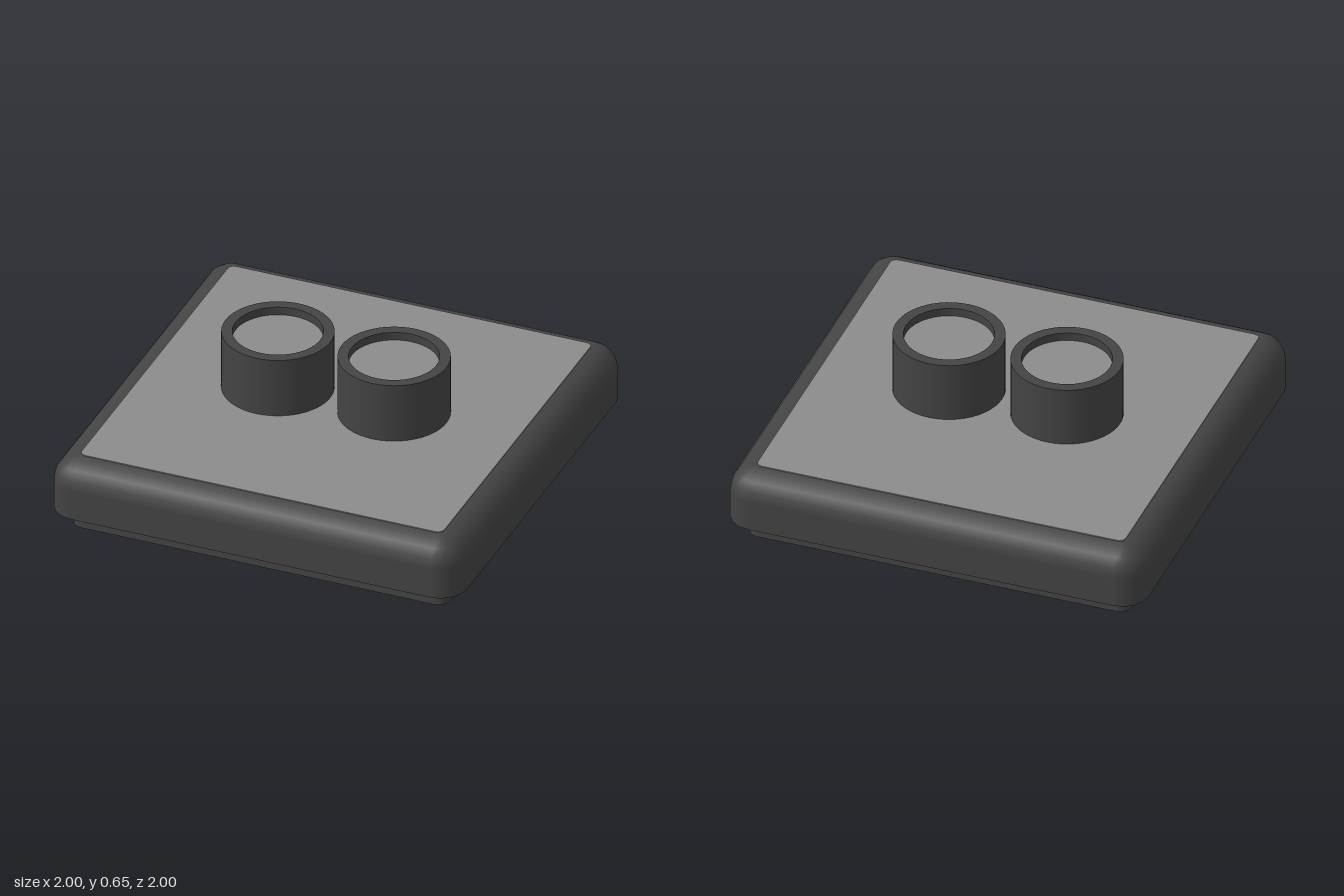
import * as THREE from 'three';

// Square slab with rounded vertical corners; rows are [tilt, y] from bottom to top.
// A tilt of 0 faces straight out, PI / 2 straight up.
function slab(half, radius, rows, segments = 4) {
  const core = half - radius, pos = [], nor = [], idx = [];
  const outline = [];
  for (let corner = 0; corner < 4; corner++) {
    const mid = (corner + 0.5) * Math.PI / 2;
    for (let s = 0; s <= segments; s++) {
      const a = (corner + s / segments) * Math.PI / 2;
      outline.push([Math.sign(Math.cos(mid)) * core, Math.sign(Math.sin(mid)) * core, Math.cos(a), Math.sin(a)]);
    }
  }
  const n = outline.length;
  const ring = (tilt, y, ny) => {
    const out = Math.cos(tilt);
    for (const [cx, cz, dx, dz] of outline) {
      pos.push(cx + dx * radius * out, y, cz + dz * radius * out);
      if (ny) nor.push(0, ny, 0);
      else nor.push(dx * out, Math.sin(tilt), dz * out);
    }
  };
  rows.forEach(([tilt, y]) => ring(tilt, y, 0));
  for (let r = 0; r < rows.length - 1; r++) {
    for (let i = 0; i < n; i++) {
      const a = r * n + i, b = r * n + (i + 1) % n;
      idx.push(a, a + n, b, b, a + n, b + n);
    }
  }
  // Flat caps with their own normals
  const bottom = rows.length * n, top = bottom + n;
  ring(rows[0][0], rows[0][1], -1);
  ring(rows[rows.length - 1][0], rows[rows.length - 1][1], 1);
  for (let i = 1; i < n - 1; i++) {
    idx.push(bottom, bottom + i, bottom + i + 1);
    idx.push(top, top + i + 1, top + i);
  }
  const g = new THREE.BufferGeometry();
  g.setAttribute('position', new THREE.Float32BufferAttribute(pos, 3));
  g.setAttribute('normal', new THREE.Float32BufferAttribute(nor, 3));
  g.setIndex(idx);
  return g;
}

export function createModel() {
  const model = new THREE.Group();
  const dark = new THREE.MeshStandardMaterial({ color: 0x444444 });
  dark.name = 'darkGrey';
  const light = new THREE.MeshStandardMaterial({ color: 0x8c8c8c });
  light.name = 'lightGrey';
  const add = (name, geometry, material, parent = model) => {
    const mesh = new THREE.Mesh(geometry, material);
    mesh.name = name;
    parent.add(mesh);
    return mesh;
  };

  // Recessed foot
  add('foot', slab(0.918, 0.06, [[0, 0], [0, 0.09]]), dark);

  // Body with a rounded upper edge
  const radius = 0.125, bodyTop = 0.36, rows = [[0, 0.087]];
  for (let i = 0; i <= 4; i++) {
    const tilt = i / 4 * Math.PI / 2;
    rows.push([tilt, bodyTop - radius + radius * Math.sin(tilt)]);
  }
  add('body', slab(1, radius, rows), dark);

  // Thin top panel
  add('topPanel', slab(0.883, 0.03, [[0, 0.357], [0, 0.363]]), light);

  // Two round posts, each with a raised rim around a sunken disc
  const outer = 0.255, inner = 0.205, postTop = 0.655, discY = 0.615;
  for (const side of [-1, 1]) {
    const post = new THREE.Group();
    post.name = side > 0 ? 'leftPost' : 'rightPost';
    post.position.x = side * 0.283;
    model.add(post);

    const wall = new THREE.CylinderGeometry(outer, outer, postTop - 0.36, 48, 1, true);
    add('postWall', wall, dark, post).position.y = (postTop + 0.36) / 2;

    const rim = new THREE.RingGeometry(inner, outer, 48).rotateX(-Math.PI / 2);
    add('rim', rim, dark, post).position.y = postTop;

    // Inner wall, mirrored so that it faces the axis
    const lining = new THREE.LatheGeometry([new THREE.Vector2(inner, postTop), new THREE.Vector2(inner, discY)], 48);
    add('rimLining', lining, dark, post);

    const disc = new THREE.CircleGeometry(inner, 48).rotateX(-Math.PI / 2);
    add('disc', disc, light, post).position.y = discY;
  }
  return model;
}
